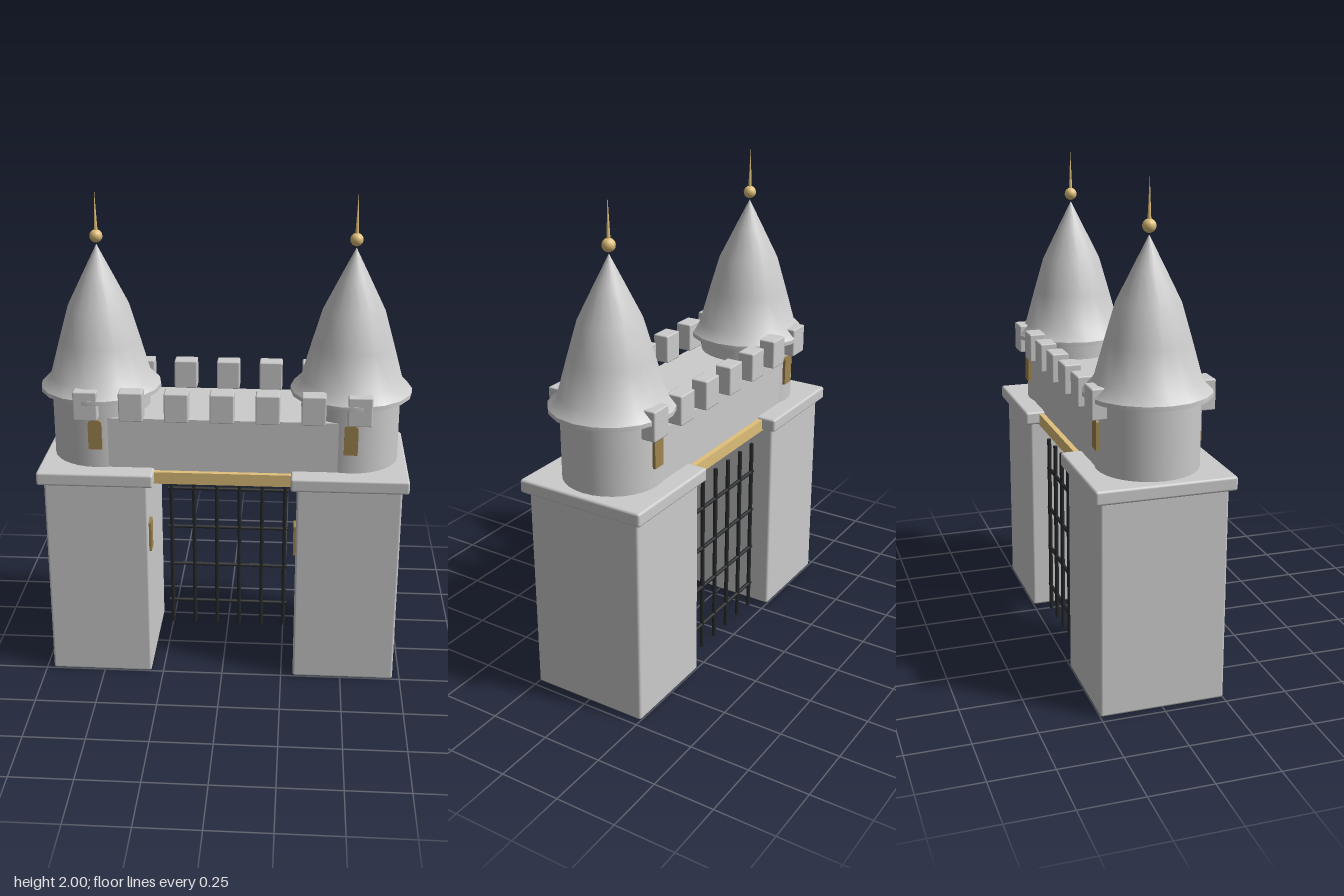
import * as THREE from 'three';
import { RoundedBoxGeometry } from 'three/addons/geometries/RoundedBoxGeometry.js';
import { toCreasedNormals } from 'three/addons/utils/BufferGeometryUtils.js';

const mat = (color) => new THREE.MeshStandardMaterial({ color });
const stone = mat(0xcccccc);
const gold = mat(0xe0c07a);
const brown = mat(0xa0854f);
const iron = mat(0x25282a);

function add(parent, name, geometry, material, x = 0, y = 0, z = 0) {
  const mesh = new THREE.Mesh(geometry, material);
  mesh.name = name;
  mesh.position.set(x, y, z);
  parent.add(mesh);
  return mesh;
}

// Arched slit, base at y = 0, centred in depth
function slitGeometry(width, height, depth) {
  const r = width / 2;
  const shape = new THREE.Shape();
  shape.moveTo(-r, 0);
  shape.lineTo(r, 0);
  shape.lineTo(r, height - r * 0.6);
  shape.quadraticCurveTo(r * 0.9, height, 0, height);
  shape.quadraticCurveTo(-r * 0.9, height, -r, height - r * 0.6);
  shape.closePath();
  return new THREE.ExtrudeGeometry(shape, { depth, bevelEnabled: false, curveSegments: 6 }).translate(0, 0, -depth / 2);
}

// Flared, slightly bulging cone with a flat underside
function roofGeometry() {
  const profile = [
    [0, 1.198], [0.246, 1.198], [0.246, 1.215], [0.205, 1.257], [0.165, 1.4],
    [0.124, 1.54], [0.062, 1.665], [0.001, 1.787],
  ].map(([r, y]) => new THREE.Vector2(r, y));
  return toCreasedNormals(new THREE.LatheGeometry(profile, 18, Math.PI / 2), 0.6);
}

function createTower(side) {
  const tower = new THREE.Group();
  tower.name = side > 0 ? 'leftTower' : 'rightTower';
  tower.position.x = side * 0.51;

  // Square pier and its cap
  add(tower, 'pier', new RoundedBoxGeometry(0.42, 0.87, 0.5, 2, 0.01), stone, 0, 0.435, 0);
  add(tower, 'pierCap', new RoundedBoxGeometry(0.47, 0.056, 0.55, 2, 0.01), stone, 0, 0.891, 0);

  // Round turret, roof and finial
  add(tower, 'turret', new THREE.CylinderGeometry(0.2, 0.2, 0.3, 32), stone, 0, 1.06, 0);
  add(tower, 'roof', roofGeometry(), stone);
  add(tower, 'finialBall', new THREE.SphereGeometry(0.026, 16, 12), gold, 0, 1.82, 0);
  add(tower, 'finialSpike', new THREE.ConeGeometry(0.008, 0.17, 8), gold, 0, 1.915, 0);

  // Slits on the front and back of the turret, and inside the gateway
  for (const z of [-1, 1]) {
    add(tower, 'turretSlit', slitGeometry(0.055, 0.125, 0.02), brown, 0, 1.0, z * 0.199);
  }
  const inner = add(tower, 'gatewaySlit', slitGeometry(0.055, 0.14, 0.02), brown, -side * 0.21, 0.56, 0.2);
  inner.rotation.y = Math.PI / 2;
  return tower;
}

function createPortcullis() {
  const gate = new THREE.Group();
  gate.name = 'portcullis';
  gate.position.z = -0.18;
  for (let i = 0; i < 6; i++) {
    add(gate, 'verticalBar', new THREE.CylinderGeometry(0.009, 0.009, 0.8, 8), iron, -0.25 + i * 0.1, 0.4, 0);
  }
  for (let i = 0; i < 4; i++) {
    const bar = add(gate, 'crossBar', new THREE.CylinderGeometry(0.008, 0.008, 0.53, 8), iron, 0, 0.11 + i * 0.185, 0);
    bar.rotation.z = Math.PI / 2;
  }
  return gate;
}

export function createModel() {
  const model = new THREE.Group();
  model.name = 'castleGatehouse';
  model.add(createTower(1), createTower(-1), createPortcullis());

  // Lintel and wall spanning the gateway
  add(model, 'lintel', new THREE.BoxGeometry(0.62, 0.05, 0.43), gold, 0, 0.884, 0);
  add(model, 'bridgeWall', new THREE.BoxGeometry(1.02, 0.226, 0.386), stone, 0, 1.016, 0);

  // Battlements along both faces
  for (const z of [-0.207, 0.207]) {
    for (let i = -3; i <= 3; i++) {
      add(model, 'merlon', new RoundedBoxGeometry(0.096, 0.12, 0.07, 1, 0.006), stone, i * 0.18, 1.193, z);
    }
  }
  return model;
}
